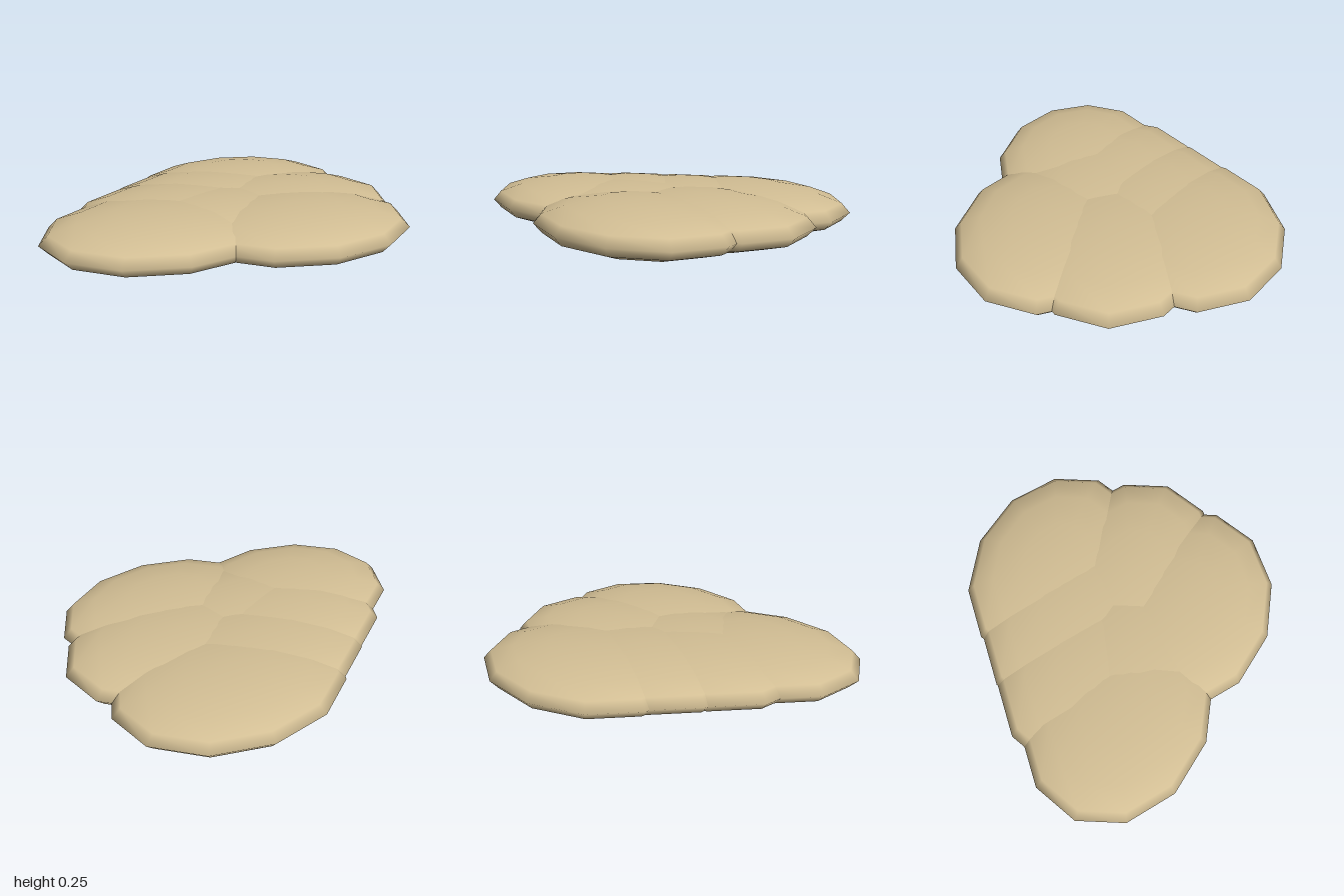
import * as THREE from 'three';

// Lobe centres on the ground plane: [name, x, z]
const LOBES = [
  ['backLobe', 0.27, -0.37],
  ['backMiddleLobe', 0.05, -0.18],
  ['middleLobe', -0.18, 0.01],
  ['leftSideLobe', -0.38, 0.23],
  ['centreLobe', -0.08, 0.13],
  ['rightSideLobe', 0.38, 0.03],
  ['frontLobe', 0.3, 0.36],
];

export function createModel() {
  const group = new THREE.Group();
  group.name = 'flatLobedCushion';
  const material = new THREE.MeshStandardMaterial({ color: 0xd2be94 });

  // One low-poly flattened ball, shared by every lobe
  const geometry = new THREE.SphereGeometry(1, 12, 8);
  geometry.scale(0.62, 0.124, 0.495);

  for (const [name, x, z] of LOBES) {
    const lobe = new THREE.Mesh(geometry, material);
    lobe.name = name;
    lobe.position.set(x, 0.124, z);
    group.add(lobe);
  }
  return group;
}
